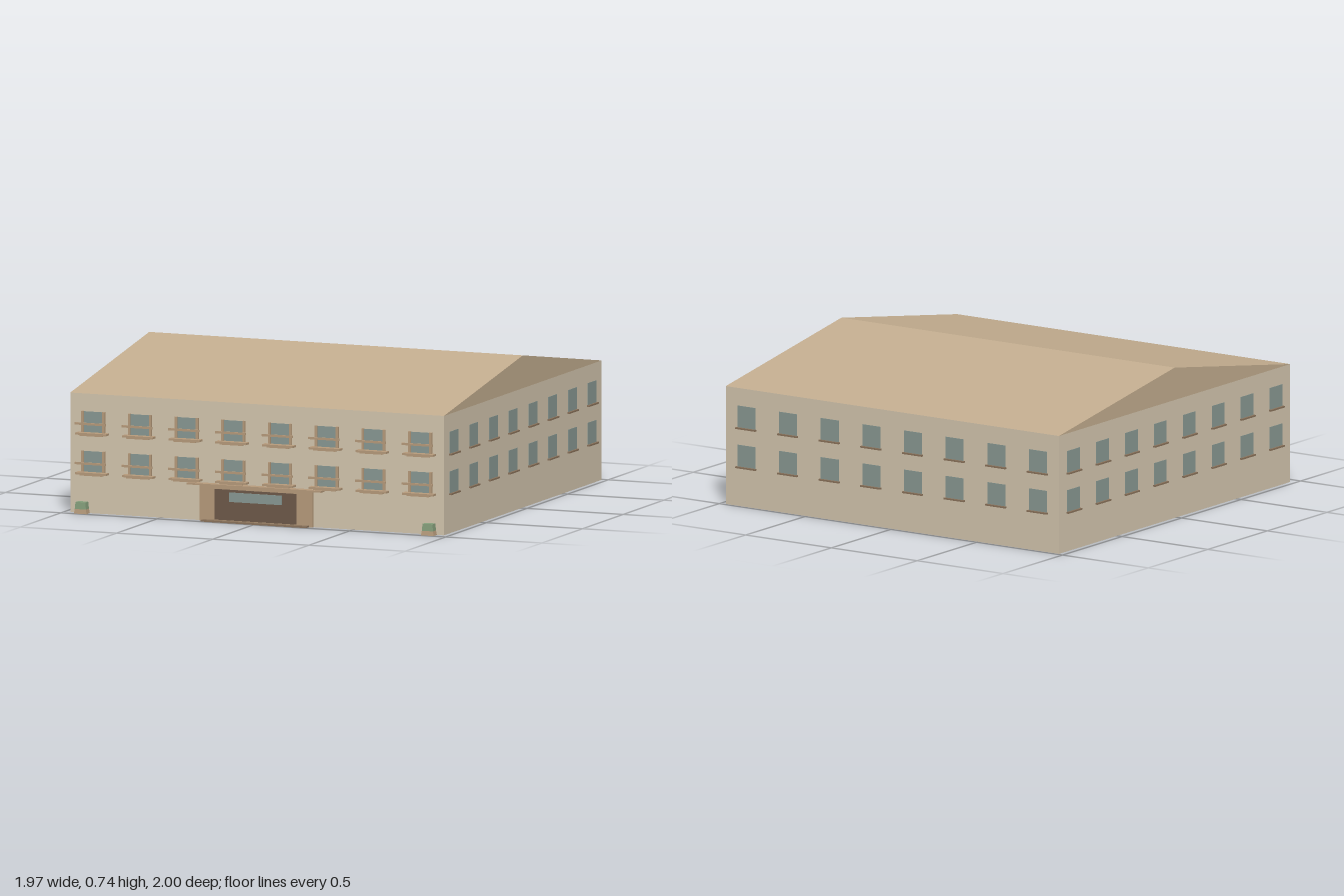
import * as THREE from 'three';

const HALF = 0.971;            // half width and half depth of the block
const CZ = -0.017;             // block centre in z
const FRONT = CZ + HALF;       // front wall plane
const EAVE = 0.578, RIDGE = 0.737;
const STEP = HALF * 2 / 8;     // window spacing
const FLOORS = [0.19, 0.382];  // sill heights

const paint = (color) => new THREE.MeshStandardMaterial({ color, flatShading: true });
const MAT = {
  wall: paint(0xd6c8b0), roof: paint(0xc4ae90), trim: paint(0xb89c7c),
  sill: paint(0x8c745c), glass: paint(0x8a9a94), door: paint(0x6e5a4a),
  plant: paint(0x86a07c),
};

function box(parent, name, mat, w, h, d, x, y, z) {
  const mesh = new THREE.Mesh(new THREE.BoxGeometry(w, h, d), mat);
  mesh.name = name;
  mesh.position.set(x, y, z);
  parent.add(mesh);
  return mesh;
}

// Pane and sill; local z = 0 is the wall plane, local y = 0 the sill line
function makeWindow(withBalcony) {
  const g = new THREE.Group();
  g.name = withBalcony ? 'balconyWindow' : 'window';
  box(g, 'glass', MAT.glass, 0.104, 0.108, 0.004, 0, 0.056, 0);
  if (!withBalcony) {
    box(g, 'sill', MAT.sill, 0.116, 0.008, 0.024, 0, 0, 0);
    return g;
  }
  for (const s of [-1, 1]) box(g, 'jamb', MAT.trim, 0.012, 0.112, 0.02, s * 0.055, 0.056, 0);
  box(g, 'balconySlab', MAT.trim, 0.116, 0.01, 0.036, 0, 0, 0.018);
  box(g, 'balconyFloor', MAT.trim, 0.16, 0.01, 0.038, 0, 0.005, 0.019);
  box(g, 'railing', MAT.trim, 0.16, 0.011, 0.006, 0, 0.055, 0.04);
  return g;
}

// Square tapered block standing on y
function tapered(parent, name, mat, top, bottom, h, x, y, z, depth) {
  const geo = new THREE.CylinderGeometry(top * Math.SQRT1_2, bottom * Math.SQRT1_2, h, 4);
  geo.rotateY(Math.PI / 4);
  geo.scale(1, 1, depth / Math.max(top, bottom));
  const mesh = new THREE.Mesh(geo, mat);
  mesh.name = name;
  mesh.position.set(x, y + h / 2, z);
  parent.add(mesh);
}

export function createModel() {
  const model = new THREE.Group();
  model.name = 'building';

  // Main block
  box(model, 'walls', MAT.wall, HALF * 2, EAVE, HALF * 2, 0, EAVE / 2, CZ);

  // Gable roof, ridge running along x
  const gable = new THREE.Shape();
  gable.moveTo(-HALF, EAVE);
  gable.lineTo(HALF, EAVE);
  gable.lineTo(0, RIDGE);
  gable.closePath();
  const roofGeo = new THREE.ExtrudeGeometry(gable, { depth: HALF * 2, bevelEnabled: false });
  roofGeo.translate(0, 0, -HALF);
  roofGeo.rotateY(-Math.PI / 2);
  const roof = new THREE.Mesh(roofGeo, MAT.roof);
  roof.name = 'roof';
  roof.position.z = CZ;
  model.add(roof);

  // Two floors of eight windows on each wall; balconies on the front
  for (let side = 0; side < 4; side++) {
    const facade = new THREE.Group();
    facade.name = ['frontWindows', 'leftWindows', 'backWindows', 'rightWindows'][side];
    facade.position.z = CZ;
    facade.rotation.y = side * Math.PI / 2;
    for (const y of FLOORS) {
      for (let i = 0; i < 8; i++) {
        const win = makeWindow(side === 0);
        win.position.set((i - 3.5) * STEP, y, HALF);
        facade.add(win);
      }
    }
    model.add(facade);
  }

  // Entrance: surround, door, transom glass, canopy and step
  const entrance = new THREE.Group();
  entrance.name = 'entrance';
  box(entrance, 'surround', MAT.trim, 0.588, 0.176, 0.02, 0, 0.088, FRONT + 0.004);
  box(entrance, 'door', MAT.door, 0.424, 0.148, 0.02, 0, 0.084, FRONT + 0.009);
  box(entrance, 'transomGlass', MAT.glass, 0.274, 0.046, 0.004, 0, 0.123, FRONT + 0.02);
  box(entrance, 'canopy', MAT.trim, 0.7, 0.008, 0.04, 0, 0.179, FRONT + 0.02);
  box(entrance, 'step', MAT.sill, 0.55, 0.008, 0.044, 0, 0.004, FRONT + 0.022);
  model.add(entrance);

  // Planters at both front corners
  for (const s of [-1, 1]) {
    const planter = new THREE.Group();
    planter.name = 'planter';
    tapered(planter, 'pot', MAT.trim, 0.058, 0.066, 0.022, s * 0.902, 0, FRONT + 0.021, 0.042);
    tapered(planter, 'shrub', MAT.plant, 0.052, 0.058, 0.034, s * 0.902, 0.022, FRONT + 0.021, 0.038);
    model.add(planter);
  }
  return model;
}
